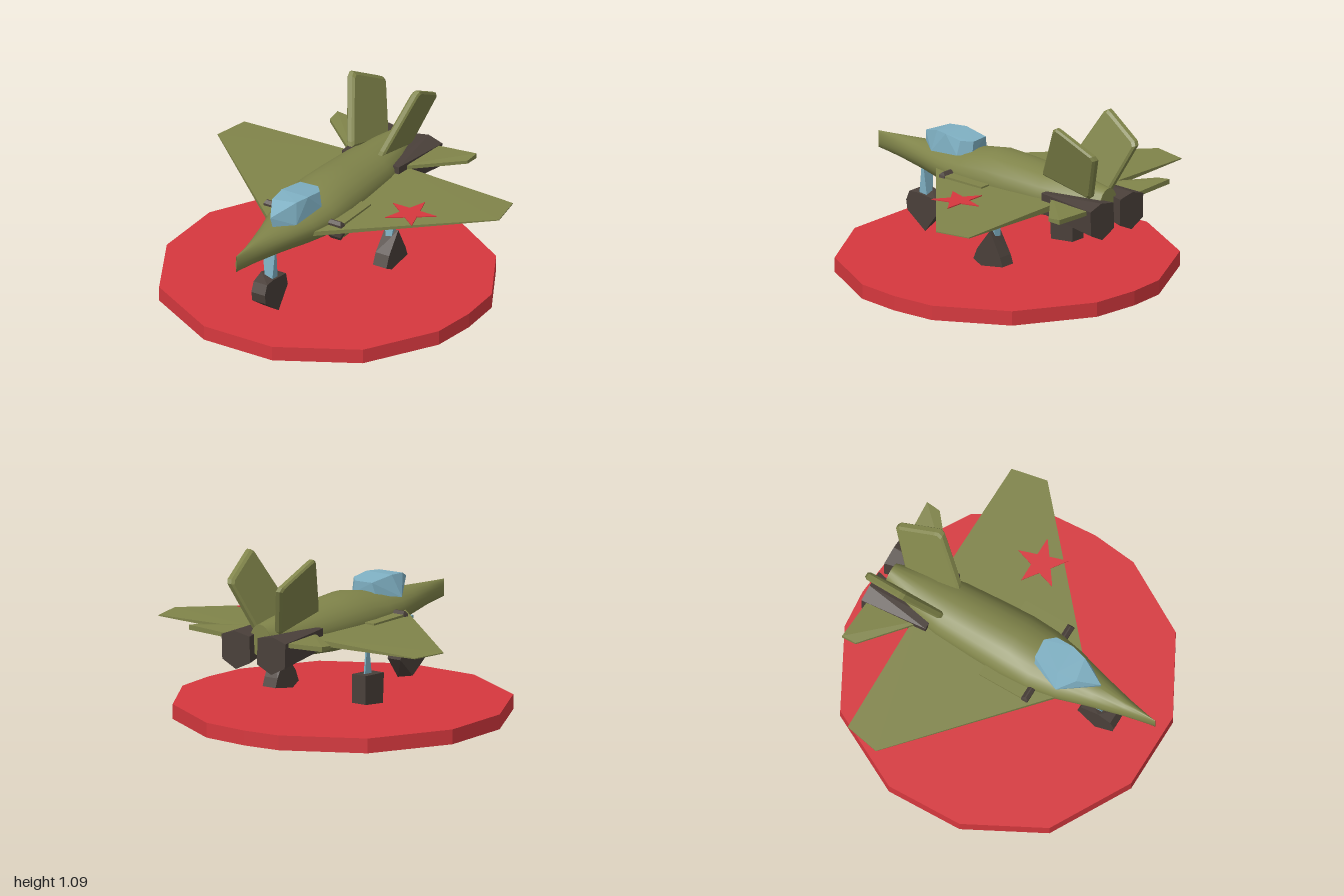
import * as THREE from 'three';
import { ConvexGeometry } from 'three/addons/geometries/ConvexGeometry.js';

const material = (name, color) => {
  const m = new THREE.MeshStandardMaterial({ color });
  m.name = name;
  return m;
};

export function createModel() {
  const olive = material('olive paint', 0x80844a);
  const dark = material('dark metal', 0x4a403a);
  const blue = material('pale blue', 0x7fb0c3);
  const red = material('red', 0xd6383e);
  const model = new THREE.Group();

  const add = (name, geometry, mat) => {
    const mesh = new THREE.Mesh(geometry, mat);
    mesh.name = name;
    model.add(mesh);
    return mesh;
  };
  // Faceted solid around a few corner points
  const hull = (name, pts, mat, side = 1) =>
    add(name, new ConvexGeometry(pts.map(([x, y, z]) => new THREE.Vector3(x * side, y, z))), mat);
  const pair = (name, pts, mat) => {
    hull(name + 'Left', pts, mat, 1);
    hull(name + 'Right', pts, mat, -1);
  };
  const box = (x0, x1, y0, y1, z0, z1) =>
    [x0, x1].flatMap(x => [y0, y1].flatMap(y => [z0, z1].map(z => [x, y, z])));

  // Display base: rough polygon disc
  const rim = [[0.28, -0.97], [0.73, -0.70], [0.97, -0.28], [0.99, 0], [0.96, 0.28], [0.71, 0.72], [0.24, 0.98],
    [-0.24, 0.98], [-0.73, 0.71], [-0.98, 0.24], [-0.99, -0.24], [-0.73, -0.73], [-0.26, -0.98], [-0.02, -1]];
  hull('base', rim.flatMap(([x, z]) => [[x, 0, z], [x, 0.09, z]]), red);

  // Fuselage: smooth loft of [z, half width, bottom, waist, top]
  const sections = [
    [1.0, 0.002, 0.53, 0.58, 0.635], [0.8, 0.052, 0.51, 0.58, 0.65], [0.6, 0.105, 0.485, 0.58, 0.665],
    [0.4, 0.165, 0.455, 0.58, 0.685], [0.22, 0.2, 0.43, 0.58, 0.71], [0.05, 0.208, 0.412, 0.58, 0.742],
    [-0.15, 0.2, 0.412, 0.58, 0.735], [-0.4, 0.185, 0.435, 0.58, 0.72], [-0.6, 0.15, 0.465, 0.58, 0.71],
    [-0.81, 0.075, 0.5, 0.59, 0.695]];
  const N = 24, position = [], index = [];
  for (const [z, w, lo, mid, hi] of sections) {
    for (let i = 0; i < N; i++) {
      const a = (i / N) * Math.PI * 2, s = Math.sin(a);
      position.push(Math.cos(a) * w, mid + s * (s > 0 ? hi - mid : mid - lo), z);
    }
  }
  for (let r = 0; r < sections.length - 1; r++) {
    for (let i = 0; i < N; i++) {
      const a = r * N + i, b = r * N + (i + 1) % N;
      index.push(a, a + N, b, b, a + N, b + N);
    }
  }
  const body = new THREE.BufferGeometry();
  body.setAttribute('position', new THREE.Float32BufferAttribute(position, 3));
  body.setIndex(index);
  body.computeVertexNormals();
  add('fuselage', body, olive);

  // Flat ends of the fuselage
  for (const [k, name] of [[0, 'noseCap'], [sections.length - 1, 'tailCap']]) {
    const ring = [];
    for (let i = 0; i < N; i++) {
      const [x, y, z] = position.slice((k * N + i) * 3, (k * N + i) * 3 + 3);
      ring.push([x, y, z], [x, y, z - (k ? 0.004 : -0.002)]);
    }
    hull(name, ring, olive);
  }

  // Canopy
  hull('canopy', [[0, 0.725, 0.63], [0.01, 0.665, 0.62], [-0.07, 0.775, 0.5], [0.08, 0.78, 0.47], [-0.14, 0.655, 0.4],
    [-0.08, 0.785, 0.38], [0.105, 0.785, 0.38], [0.1, 0.65, 0.5], [0.13, 0.68, 0.27], [0.11, 0.77, 0.26],
    [-0.06, 0.765, 0.21], [0.06, 0.765, 0.2], [-0.08, 0.69, 0.22], [0.07, 0.69, 0.2]], blue);

  // Main wings, thinning to the tips
  pair('wing', [[0.1, 0.552, 0.46], [0.1, 0.582, 0.46], [0.1, 0.55, -0.56], [0.1, 0.592, -0.56],
    [0.99, 0.567, -0.33], [0.99, 0.573, -0.33], [0.945, 0.567, -0.55], [0.945, 0.573, -0.55]], olive);

  // Tailplanes
  pair('tailplane', [[0.1, 0.585, -0.45], [0.1, 0.61, -0.45], [0.1, 0.585, -0.84], [0.1, 0.61, -0.84],
    [0.485, 0.605, -0.77], [0.485, 0.625, -0.77], [0.49, 0.605, -0.86], [0.49, 0.635, -0.86]], olive);

  // Twin fins: bevelled slabs leaning outward
  const finOutline = [[-0.40, 0.715], [-0.41, 0.74], [-0.59, 1.07], [-0.615, 1.085], [-0.64, 1.075],
    [-0.865, 0.955], [-0.88, 0.93], [-0.76, 0.65], [-0.74, 0.635]];
  const finPoints = [];
  for (const [z, y] of finOutline) {
    for (const [scale, half] of [[1, 0.014], [0.93, 0.026]]) {
      const zz = -0.65 + (z + 0.65) * scale, yy = 0.86 + (y - 0.86) * scale;
      const x = 0.08 + (yy - 0.64) * 0.34;
      finPoints.push([x - half, yy, zz], [x + half, yy, zz]);
    }
  }
  pair('fin', finPoints, olive);

  // Engines: faceted nozzles widening to the rear
  pair('engine', [[0.13, 0.5, -0.46], [0.2, 0.51, -0.46], [0.2, 0.635, -0.46], [0.13, 0.635, -0.46],
    [0.13, 0.42, -0.88], [0.23, 0.47, -0.88], [0.235, 0.62, -0.88], [0.14, 0.65, -0.88],
    [0.03, 0.63, -0.88], [0.025, 0.47, -0.88]], dark);

  // Side intakes
  pair('intakeDuct', box(0.17, 0.27, 0.505, 0.595, -0.05, 0.25), olive);
  pair('intakeMouth', [...box(0.18, 0.27, 0.515, 0.595, 0.24, 0.285),
    ...box(0.18, 0.28, 0.535, 0.57, 0.245, 0.275), ...box(0.19, 0.26, 0.49, 0.612, 0.26, 0.268)], dark);

  // Nose gear
  hull('noseStrut', [[-0.05, 0.49, 0.615], [0.035, 0.49, 0.615], [-0.05, 0.49, 0.635], [0.035, 0.49, 0.635],
    [-0.02, 0.32, 0.595], [0.03, 0.32, 0.595], [-0.02, 0.32, 0.655], [0.03, 0.32, 0.655]], blue);
  const slab = (outline, x0, x1) => outline.flatMap(([z, y]) => [[x0, y, z], [x1, y, z]]);
  hull('noseWheel', [[-0.055, 0.36, 0.64], [0.04, 0.335, 0.66],
    ...slab([[0.75, 0.27], [0.725, 0.33], [0.52, 0.32], [0.5, 0.24], [0.74, 0.21]], -0.055, 0.04),
    [-0.055, 0.125, 0.62], [0.04, 0.108, 0.6]], dark);

  // Main gear, one wheel pointed and one boxy
  hull('mainStrutLeft', [[0.27, 0.485, -0.19], [0.355, 0.485, -0.19], [0.27, 0.485, -0.2], [0.355, 0.485, -0.2],
    [0.295, 0.33, -0.17], [0.335, 0.33, -0.17], [0.295, 0.33, -0.22], [0.335, 0.33, -0.22]], blue);
  hull('mainWheelLeft', [[0.365, 0.38, -0.2], [0.27, 0.365, -0.2],
    ...slab([[-0.28, 0.23], [-0.3, 0.175], [-0.13, 0.148], [-0.07, 0.18], [-0.1, 0.25]], 0.27, 0.365)], dark);
  hull('mainStrutRight', [[-0.336, 0.485, -0.185], [-0.326, 0.485, -0.185], [-0.336, 0.485, -0.21],
    [-0.326, 0.485, -0.21], [-0.336, 0.31, -0.16], [-0.326, 0.31, -0.16], [-0.336, 0.31, -0.23],
    [-0.326, 0.31, -0.23]], blue);
  hull('mainWheelRight', slab([[-0.1, 0.325], [-0.28, 0.335], [-0.28, 0.16], [-0.11, 0.142]], -0.38, -0.28), dark);

  // Star plate on the left wing
  const star = new THREE.Shape();
  for (let i = 0; i < 10; i++) {
    const a = Math.PI / 2 + (i * Math.PI) / 5, r = i % 2 ? 0.062 : 0.16;
    star[i ? 'lineTo' : 'moveTo'](Math.cos(a) * r, Math.sin(a) * r);
  }
  const starGeometry = new THREE.ExtrudeGeometry(star, { depth: 0.006, bevelEnabled: false });
  starGeometry.rotateX(-Math.PI / 2);
  add('starPlate', starGeometry, red).position.set(0.52, 0.585, -0.09);

  return model;
}
